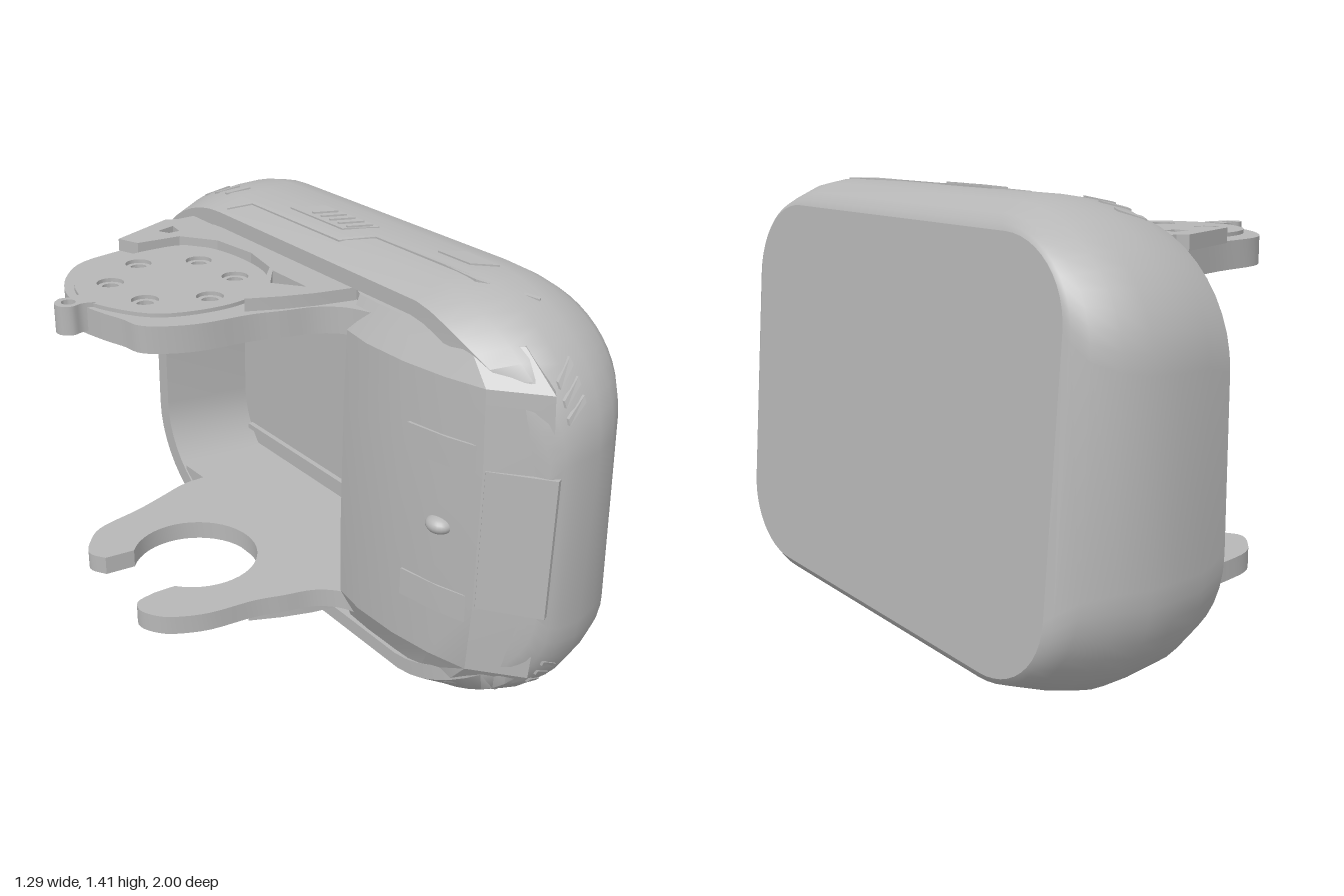
import * as THREE from 'three';
import { toCreasedNormals } from 'three/addons/utils/BufferGeometryUtils.js';

const grey = new THREE.MeshStandardMaterial({ color: 0xb6b6b6 });
grey.name = 'plainGrey';

// Shell sections: x at top, x at bottom, bottom y, top y, half depth, corner radius
const INNER = [
  [0.46, 0.46, 0.12, 1.28, 0.9, 0.4],
  [0.11, 0.11, 0.12, 1.285, 0.915, 0.42],
];
const OUTER = [
  [0.11, 0.11, 0.07, 1.335, 0.975, 0.46],
  [0.2, 0.2, 0.025, 1.375, 0.993, 0.48],
  [0.3, 0.3, 0.006, 1.391, 1.0, 0.5],
  [0.39, 0.38, 0.0, 1.395, 0.997, 0.5],
  [0.46, 0.48, 0.025, 1.382, 0.97, 0.47],
  [0.515, 0.575, 0.065, 1.352, 0.925, 0.4],
  [0.542, 0.63, 0.095, 1.328, 0.885, 0.32],
  [0.55, 0.645, 0.12, 1.31, 0.86, 0.27],
];

function mesh(name, geometry) {
  const m = new THREE.Mesh(geometry, grey);
  m.name = name;
  return m;
}

// Skin a list of closed rings of [x, y, z]
function loft(rings, crease = 0.6) {
  const n = rings[0].length, index = [];
  for (let i = 0; i < rings.length - 1; i++) {
    for (let j = 0; j < n; j++) {
      const k = (j + 1) % n, a = i * n, b = a + n;
      index.push(a + j, b + j, a + k, b + j, b + k, a + k);
    }
  }
  const g = new THREE.BufferGeometry();
  g.setAttribute('position', new THREE.Float32BufferAttribute(rings.flat(2), 3));
  g.setIndex(index);
  return toCreasedNormals(g, crease);
}
// Collapsed ring that closes a loft
const tip = (ring, ...point) => ring.map(() => point);

// Rounded rectangle section; the open rim sweeps back and narrows towards the front end
function shellRing([xTop, xBot, y0, y1, hz, r]) {
  const ring = [], ry = r * 0.84, steps = 12;
  for (let q = 0; q < 4; q++) {
    const sz = q === 0 || q === 3 ? 1 : -1, sy = q < 2 ? 1 : -1;
    for (let s = 0; s <= steps; s++) {
      const a = (q + s / steps) * Math.PI / 2;
      const z = sz * (hz - r) + r * Math.cos(a);
      const y = (sy > 0 ? y1 - ry : y0 + ry) + ry * Math.sin(a);
      const x = THREE.MathUtils.lerp(xBot, xTop, (y - y0) / (y1 - y0));
      const rim = 0.11 + 0.13 * (Math.max(0, z - 0.6) / 0.4) ** 2;
      const pull = 0.08 * THREE.MathUtils.clamp((0.27 - x) / 0.15, 0, 1) * THREE.MathUtils.smoothstep(z, 0.45, 0.85);
      ring.push([x < 0.21 ? Math.max(x, rim + (x - 0.11) * 0.3) : x, 0.7 + (y - 0.7) * (1 - pull), z]);
    }
  }
  return ring;
}

// Outer surface lookups used to seat the thin details
function sectionAt(x) {
  let i = 0;
  while (i < OUTER.length - 2 && OUTER[i + 1][0] < x) i++;
  const t = (x - OUTER[i][0]) / (OUTER[i + 1][0] - OUTER[i][0]);
  return OUTER[i].map((v, k) => THREE.MathUtils.lerp(v, OUTER[i + 1][k], t));
}
function topY(x, z) {
  const [, , , y1, hz, r] = sectionAt(x);
  const d = Math.min(1, Math.max(0, (Math.abs(z) - hz + r) / r));
  return y1 - r * 0.84 * (1 - Math.sqrt(1 - d * d));
}
function frontZ(x, y) {
  const [, , , y1, hz, r] = sectionAt(x);
  const d = Math.min(1, Math.max(0, (y - y1 + r * 0.84) / (r * 0.84)));
  return hz - r * (1 - Math.sqrt(1 - d * d));
}

// Horizontal slab from an [x, z] outline; holes are [x, z, radius] or outlines
function slab(points, y0, y1, holes = []) {
  const v = (p) => new THREE.Vector2(p[0], -p[1]);
  const shape = new THREE.Shape(points.map(v));
  for (const h of holes) {
    const path = new THREE.Path();
    if (typeof h[0] === 'number') path.absarc(h[0], -h[1], h[2], 0.1, 0.1 + Math.PI * 2);
    else path.setFromPoints(h.map(v));
    shape.holes.push(path);
  }
  const g = new THREE.ExtrudeGeometry(shape, { depth: y1 - y0, bevelEnabled: false, curveSegments: 18 });
  g.rotateX(-Math.PI / 2).translate(0, y0, 0);
  return toCreasedNormals(g, 0.5);
}
function smooth(points, n = 40) {
  const c = new THREE.SplineCurve(points.map((p) => new THREE.Vector2(...p)));
  return c.getPoints(n).map((p) => [p.x, p.y]);
}

// Thin plates lying on the top or underside of the shell
function topPlate(name, points, side) {
  const g = slab(points, -0.005, 0.005), p = g.attributes.position;
  for (let i = 0; i < p.count; i++) {
    p.setY(i, p.getY(i) + 0.6975 + side * (topY(p.getX(i), p.getZ(i)) - 0.6975));
  }
  g.computeVertexNormals();
  return mesh(name, g);
}
// Thin slanted bars on the front end
function frontBar(x0, y0, x1, y1, side) {
  const s = new THREE.Shape([[x0, y0], [x1, y1], [x1, y1 + 0.018], [x0, y0 + 0.018]].map((p) => new THREE.Vector2(...p)));
  const g = new THREE.ExtrudeGeometry(s, { depth: 0.009, bevelEnabled: false });
  if (side < 0) g.translate(0, -1.3975, 0).rotateX(Math.PI).translate(0, 0, 0.009);
  const p = g.attributes.position;
  for (let i = 0; i < p.count; i++) {
    const y = p.getY(i);
    p.setZ(i, p.getZ(i) - 0.002 + frontZ(p.getX(i), side > 0 ? y : 1.3975 - y));
  }
  g.computeVertexNormals();
  return mesh('frontSlot', g);
}

export function createModel() {
  const model = new THREE.Group();
  model.name = 'clampHousing';
  const add = (name, g) => model.add(mesh(name, g));

  // Thin hollow housing and its slanted flat face
  const shell = [...INNER, ...OUTER].map(shellRing), faceRing = shell[shell.length - 1];
  add('housing', loft([tip(shell[0], 0.46, 0.7, 0), ...shell]));
  add('flatFace', loft([faceRing, tip(faceRing, 0.5975, 0.715, 0)], 0.1));

  // Curved cover over the front part of the opening
  const profile = [[0.15, 0.18], [0.06, 0.26], [0.04, 0.38], [0.045, 0.55], [0.07, 0.7], [0.11, 0.83],
    [0.235, 0.975], [0.3, 0.9], [0.2, 0.78], [0.14, 0.5], [0.16, 0.3]];
  const rows = [[1.27, 0.25], [1.17, 0.9], [0.93, 1], [0.48, 1], [0.25, 0.9], [0.13, 0.25]];
  const rings = rows.map(([y, f]) => profile.map(([x, z]) => [
    x < 0.15 ? THREE.MathUtils.lerp(0.14, x, f) : x, y, 0.2 + (z - 0.2) * (0.75 + 0.25 * f)]));
  add('frontCover', loft([tip(profile, 0.17, 1.27, 0.55), ...rings, tip(profile, 0.17, 0.13, 0.55)], 0.3));
  add('frontPlate', slab([[0.112, 0.838], [0.235, 0.997], [0.26, 0.985], [0.13, 0.815]], 0.48, 0.93));
  for (const y of [0.465, 0.955]) {
    add('coverWindow', slab([[0.043, 0.58], [0.07, 0.72], [0.1, 0.81], [0.1, 0.79], [0.075, 0.69], [0.053, 0.58]], y - 0.045, y + 0.045));
  }
  const knob = new THREE.SphereGeometry(0.04, 20, 14);
  knob.scale(1, 0.7, 1.1).translate(0.08, 0.71, 0.7);
  add('knob', knob);

  // Floor, ceiling and ribs inside the cavity
  const liner = [[0.115, -0.8], [0.458, -0.8], [0.458, 0.8], [0.18, 0.8], [0.14, 0.6]];
  add('cavityFloor', slab(liner, 0.18, 0.245));
  add('cavityCeiling', slab(liner, 1.155, 1.22));
  for (const y of [0.3, 1.08]) add('cavityRib', slab([[0.44, -0.85], [0.461, -0.85], [0.461, 0.8], [0.44, 0.8]], y, y + 0.02));
  add('cavityPost', slab([[0.38, 0.42], [0.461, 0.42], [0.461, 0.47], [0.38, 0.47]], 0.24, 1.16));

  // Top bracket: round plate with six countersunk holes
  const outline = smooth([[0.0, -0.67], [-0.2, -0.605], [-0.38, -0.565], [-0.48, -0.48], [-0.55, -0.36], [-0.572, -0.24],
    [-0.55, -0.12], [-0.525, -0.04], [-0.51, 0.03], [-0.45, 0.08], [-0.35, 0.12], [-0.2, 0.14], [-0.1, 0.17],
    [0.0, 0.2], [0.07, 0.26], [0.11, 0.36]], 61);
  const spots = [[-0.26, -0.416], [-0.085, -0.332], [-0.42, -0.307], [-0.407, -0.114], [-0.072, -0.138], [-0.232, -0.03]];
  add('topBracket', slab([[0.2, -0.68], [0.05, -0.68], ...outline, [0.2, 0.36]], 1.155, 1.24,
    spots.map(([x, z]) => [x, z, 0.026])));
  const disc = smooth([[-0.2, -0.515], [-0.05, -0.5], [0.02, -0.4], [0.04, -0.23], [0.01, -0.08], [-0.1, 0.03],
    [-0.25, 0.06], [-0.43, 0.01], [-0.53, -0.13], [-0.55, -0.25], [-0.5, -0.39], [-0.39, -0.48], [-0.2, -0.515]], 60);
  disc.pop();
  add('bracketDisc', slab(disc, 1.239, 1.252, spots.map(([x, z]) => [x, z, 0.042])));
  add('eyelet', slab(smooth([[-0.54, -0.175], [-0.58, -0.187], [-0.615, -0.179], [-0.645, -0.2], [-0.647, -0.235],
    [-0.615, -0.261], [-0.58, -0.253], [-0.54, -0.265]], 24), 1.165, 1.255, [[-0.607, -0.22, 0.022]]));

  // Bottom bracket: open hook
  const arc = [];
  for (let i = 0; i <= 36; i++) {
    const a = THREE.MathUtils.degToRad(-140 + (280 * i) / 36);
    arc.push([-0.2 + 0.215 * Math.cos(a), -0.22 + 0.215 * Math.sin(a)]);
  }
  const backArm = smooth([[0.0, -0.67], [-0.2, -0.605], [-0.38, -0.565], [-0.46, -0.5], [-0.5, -0.43], [-0.47, -0.37]], 24);
  const frontArm = smooth([[-0.44, -0.085], [-0.51, -0.07], [-0.53, -0.02], [-0.5, 0.04], [-0.45, 0.08], [-0.35, 0.12],
    [-0.2, 0.14], [-0.1, 0.17], [0.0, 0.2], [0.07, 0.26], [0.11, 0.36]], 36);
  add('bottomHook', slab([[0.2, -0.68], [0.05, -0.68], ...backArm, ...arc, ...frontArm, [0.2, 0.36]], 0.18, 0.245));

  // Raised reinforcements on both brackets
  const backPad = [[0.13, -0.68], [0.04, -0.68], [0.01, -0.70], [-0.23, -0.6], [-0.2, -0.525], [-0.05, -0.51], [0.03, -0.4],
    [0.05, -0.23], [0.13, -0.23]];
  const frontPad = [[0.13, -0.23], [0.05, -0.23], [0.02, -0.08], [-0.09, 0.04], [-0.2, 0.11], [-0.1, 0.155], [0.0, 0.19], [0.13, 0.22]];
  for (const [y0, y1] of [[1.235, 1.28], [0.15, 0.185]]) {
    add('backPad', slab(backPad, y0, y1, [[[-0.08, -0.6], [-0.01, -0.62], [-0.02, -0.56], [-0.06, -0.56]]]));
    add('frontPad', slab(frontPad, y0, y1, [[[-0.06, 0.04], [0.01, -0.05], [0.01, 0.13]]]));
  }

  // Seam, vents and slots repeated on the top and underside
  const seam = [[0.14, -0.5], [0.195, -0.43], [0.195, 0.05], [0.275, 0.13], [0.275, 0.45], [0.275, 0.58], [0.38, 0.73]];
  for (const side of [1, -1]) {
    model.add(topPlate('seam', [...seam, ...seam.map(([x, z]) => [x - 0.01, z + 0.006]).reverse()], side));
    model.add(topPlate('ventFrame', [[0.24, -0.28], [0.325, -0.2], [0.325, 0.08], [0.24, 0.0]], side));
    model.add(topPlate('smallVent', [[0.32, 0.36], [0.38, 0.42], [0.38, 0.56], [0.32, 0.5]], side));
    for (let i = 0; i < 5; i++) {
      const z = -0.18 + i * 0.045;
      const bar = topPlate('ventRib', [[0.255, z], [0.315, z + 0.05], [0.315, z + 0.06], [0.255, z + 0.01]], side);
      bar.position.y = side * 0.005;
      model.add(bar);
    }
    for (let i = 0; i < 3; i++) {
      const z = -0.73 + i * 0.065;
      model.add(topPlate('topSlot', [[0.19, z], [0.26, z + 0.035], [0.26, z + 0.053], [0.19, z + 0.018]], side));
      model.add(frontBar(0.267, 1.085 + i * 0.045, 0.34, 1.13 + i * 0.045, side));
    }
  }
  return model;
}
